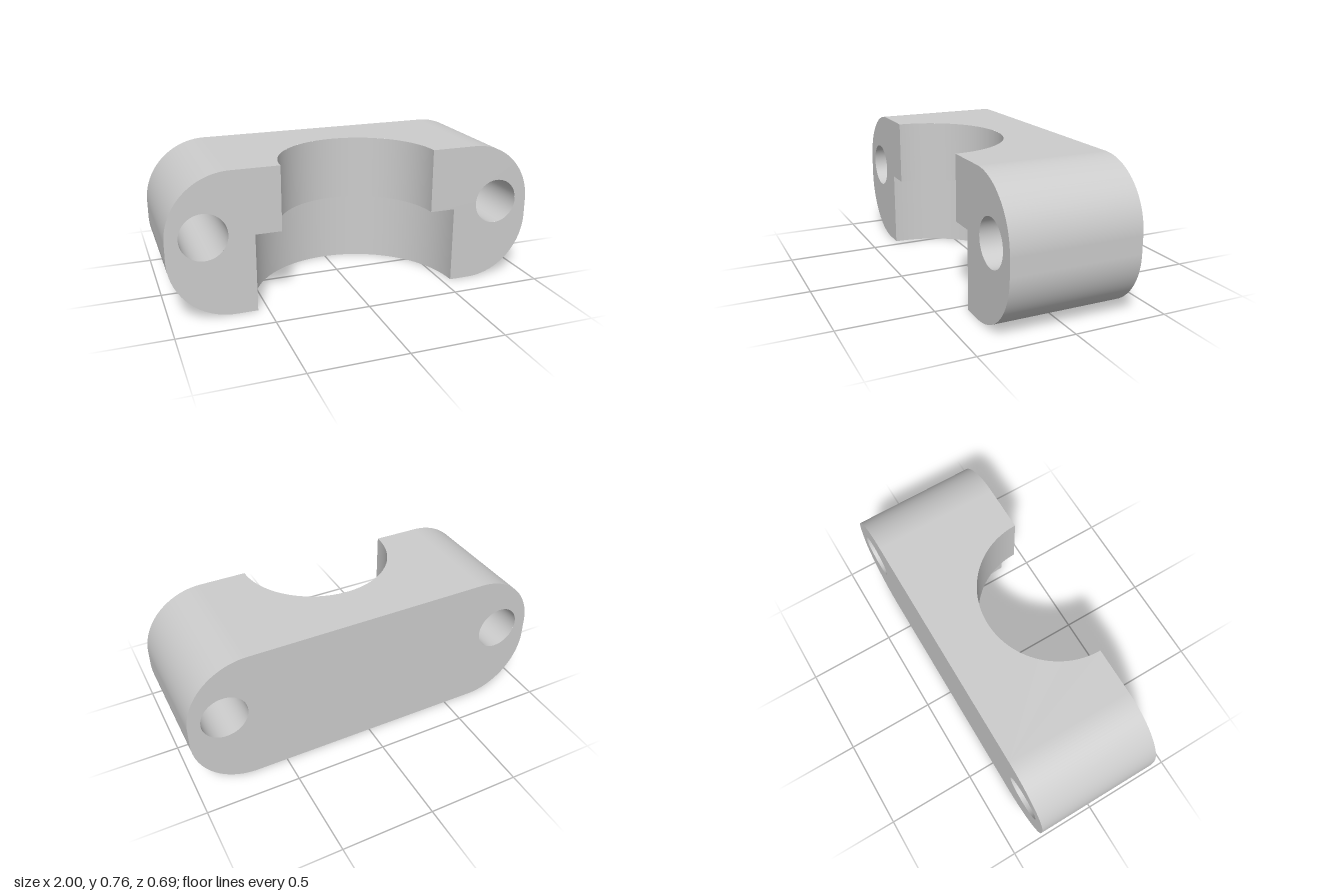
import * as THREE from 'three';

const W = 1, H = 0.76, D = 0.345;        // half width, height, half depth
const R = 0.335;                         // corner radius
const STEP = 0.417;                      // height where the bore narrows
const BORE = 0.415, COUNTERBORE = 0.553; // radii, both centred on the front face
const HOLE = 0.123, HOLE_X = 0.81, HOLE_Y = 0.434;
const PI = Math.PI;

// Turns a surface inside out
function flip(geo) {
  const idx = geo.index.array;
  for (let i = 0; i < idx.length; i += 3) [idx[i], idx[i + 1]] = [idx[i + 1], idx[i]];
  const n = geo.attributes.normal.array;
  for (let i = 0; i < n.length; i++) n[i] = -n[i];
  return geo;
}

function boltHole(x) {
  return new THREE.Path().absarc(x, HOLE_Y, HOLE, 0, 2 * PI, true);
}

// Rounded outline of the whole clamp
function backShape() {
  const s = new THREE.Shape();
  s.moveTo(-W + R, 0).lineTo(W - R, 0);
  s.absarc(W - R, R, R, -PI / 2, 0, false);
  s.absarc(W - R, H - R, R, 0, PI / 2, false);
  s.absarc(-W + R, H - R, R, PI / 2, PI, false);
  s.absarc(-W + R, R, R, PI, 1.5 * PI, false);
  s.holes.push(boltHole(HOLE_X), boltHole(-HOLE_X));
  return s;
}

// Stepped front face on one side of the bore
function lugShape(side) {
  const start = side > 0 ? 0 : PI, cw = side < 0;
  const s = new THREE.Shape();
  s.moveTo(side * COUNTERBORE, 0).lineTo(side * (W - R), 0);
  s.absarc(side * (W - R), R, R, -PI / 2, start, cw);
  s.absarc(side * (W - R), H - R, R, start, PI / 2, cw);
  s.lineTo(side * BORE, H).lineTo(side * BORE, STEP).lineTo(side * COUNTERBORE, STEP);
  s.holes.push(boltHole(side * HOLE_X));
  return s;
}

// Flat horizontal face with a half-round cut at the front
function notchedPlate(radius) {
  const s = new THREE.Shape();
  s.moveTo(-W + R, -D).lineTo(-radius, -D);
  s.absarc(0, -D, radius, PI, 0, true);
  s.lineTo(W - R, -D).lineTo(W - R, D).lineTo(-W + R, D);
  return new THREE.ShapeGeometry(s, 48).rotateX(-PI / 2);
}

// Half-round wall of the bore between two heights
function boreWall(radius, y0, y1) {
  const g = new THREE.CylinderGeometry(radius, radius, y1 - y0, 48, 1, true, PI / 2, PI);
  return flip(g).translate(0, (y0 + y1) / 2, D);
}

export function createModel() {
  const group = new THREE.Group();
  const metal = new THREE.MeshStandardMaterial({ color: 0xcccccc });
  metal.name = 'light grey metal';

  const add = (name, geo) => {
    const mesh = new THREE.Mesh(geo, metal);
    mesh.name = name;
    group.add(mesh);
  };

  add('backFace', new THREE.ShapeGeometry(backShape(), 32).rotateY(PI).translate(0, 0, -D));
  add('topFace', notchedPlate(BORE).translate(0, H, 0));
  add('bottomFace', flip(notchedPlate(COUNTERBORE)));

  // Bore, counterbore and the downward ledge between them
  add('upperBore', boreWall(BORE, STEP, H));
  add('lowerBore', boreWall(COUNTERBORE, 0, STEP));
  const ledge = new THREE.RingGeometry(BORE, COUNTERBORE, 48, 1, 0, PI).rotateX(-PI / 2);
  add('boreLedge', flip(ledge).translate(0, STEP, D));

  // Front faces, flat ends and bolt holes, mirrored
  for (const side of [1, -1]) {
    const label = side > 0 ? 'left' : 'right';
    add(label + 'FrontFace', new THREE.ShapeGeometry(lugShape(side), 32).translate(0, 0, D));
    add(label + 'End', new THREE.PlaneGeometry(2 * D, H - 2 * R)
      .rotateY(side * PI / 2).translate(side * W, H / 2, 0));
    const hole = new THREE.CylinderGeometry(HOLE, HOLE, 2 * D, 48, 1, true).rotateX(PI / 2);
    add(label + 'BoltHole', flip(hole).translate(side * HOLE_X, HOLE_Y, 0));
  }

  // Four rounded corners, going round from the lower left
  for (let k = 0; k < 4; k++) {
    const x = k < 2 ? W - R : R - W;
    const y = k === 1 || k === 2 ? H - R : R;
    add('roundedCorner' + (k + 1), new THREE.CylinderGeometry(R, R, 2 * D, 32, 1, true, k * PI / 2, PI / 2)
      .rotateX(PI / 2).translate(x, y, 0));
  }
  return group;
}
